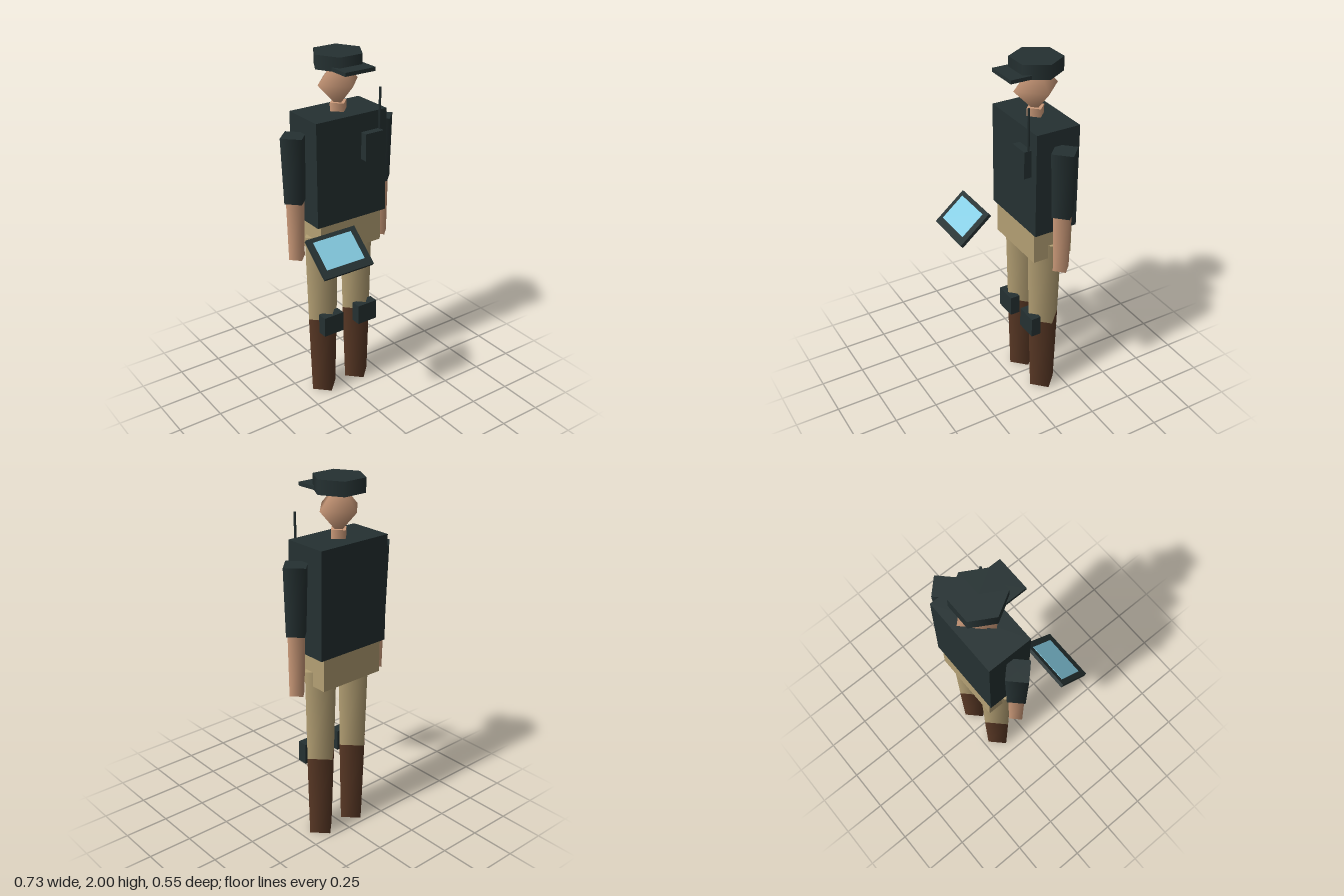
import * as THREE from 'three';

const CX = 0.005, CZ = -0.143; // body axis

export function createModel() {
  const model = new THREE.Group();
  const material = (name, color) => {
    const m = new THREE.MeshStandardMaterial({ color });
    m.name = name;
    return m;
  };
  const uniform = material('dark uniform', 0x253132);
  const khaki = material('khaki', 0xb4a074);
  const skin = material('skin', 0xcd9b7a);
  const leather = material('brown leather', 0x593825);
  const glass = material('screen blue', 0x87cee4);

  const add = (name, geometry, mat, x, y, z, parent = model) => {
    const mesh = new THREE.Mesh(geometry, mat);
    mesh.name = name;
    mesh.position.set(x, y, z);
    parent.add(mesh);
    return mesh;
  };
  // box given by its bounds
  const box = (name, mat, x0, x1, y0, y1, z0, z1) =>
    add(name, new THREE.BoxGeometry(x1 - x0, y1 - y0, z1 - z0), mat,
      (x0 + x1) / 2, (y0 + y1) / 2, (z0 + z1) / 2);
  // upright tapered prism between two heights
  const limb = (name, mat, x, z, y0, y1, rBottom, rTop, sides = 4) =>
    add(name, new THREE.CylinderGeometry(rTop, rBottom, y1 - y0, sides), mat, x, (y0 + y1) / 2, z);

  // Trunk
  box('vest', uniform, CX - 0.22, CX + 0.22, 1.11, 1.69, -0.268, -0.017);
  box('hips', khaki, CX - 0.195, CX + 0.195, 0.93, 1.11, -0.259, -0.026);

  // Head and cap
  limb('neck', skin, CX, CZ, 1.69, 1.735, 0.052, 0.052);
  add('head', new THREE.SphereGeometry(1, 4, 2), skin, CX, 1.84, CZ).scale.set(0.125, 0.134, 0.131);
  limb('cap', uniform, CX, CZ, 1.925, 2, 0.138, 0.138, 6).rotation.y = Math.PI / 6;
  box('capBrim', uniform, CX - 0.092, CX + 0.092, 1.926, 1.946, -0.11, 0.055);

  // Arms and legs
  for (const [side, s] of [['left', 1], ['right', -1]]) {
    const armX = CX + s * 0.278, legX = CX + s * 0.116;
    limb(side + 'Sleeve', uniform, armX, CZ, 1.24, 1.605, 0.067, 0.08);
    limb(side + 'Forearm', skin, armX, CZ, 0.905, 1.24, 0.05, 0.057);
    limb(side + 'Thigh', khaki, legX, CZ, 0.487, 1.01, 0.095, 0.109);
    limb(side + 'Boot', leather, legX, CZ, 0, 0.487, 0.08, 0.096);
    box(side + 'KneePad', uniform, legX - 0.063, legX + 0.063, 0.417, 0.535, -0.087, -0.03);
  }

  // Radio with aerial
  box('radio', uniform, 0.063, 0.177, 1.44, 1.59, -0.03, 0.025);
  limb('aerial', uniform, 0.17, -0.002, 1.56, 1.817, 0.008, 0.008);

  // Tilted tablet
  const tablet = new THREE.Group();
  tablet.name = 'tablet';
  tablet.position.set(-0.213, 1.052, 0.178);
  tablet.rotation.x = THREE.MathUtils.degToRad(40);
  model.add(tablet);
  add('tabletCase', new THREE.BoxGeometry(0.3, 0.02, 0.23), uniform, 0, 0, 0, tablet);
  add('tabletScreen', new THREE.BoxGeometry(0.233, 0.005, 0.163), glass, -0.003, 0.0105, -0.009, tablet);

  return model;
}
